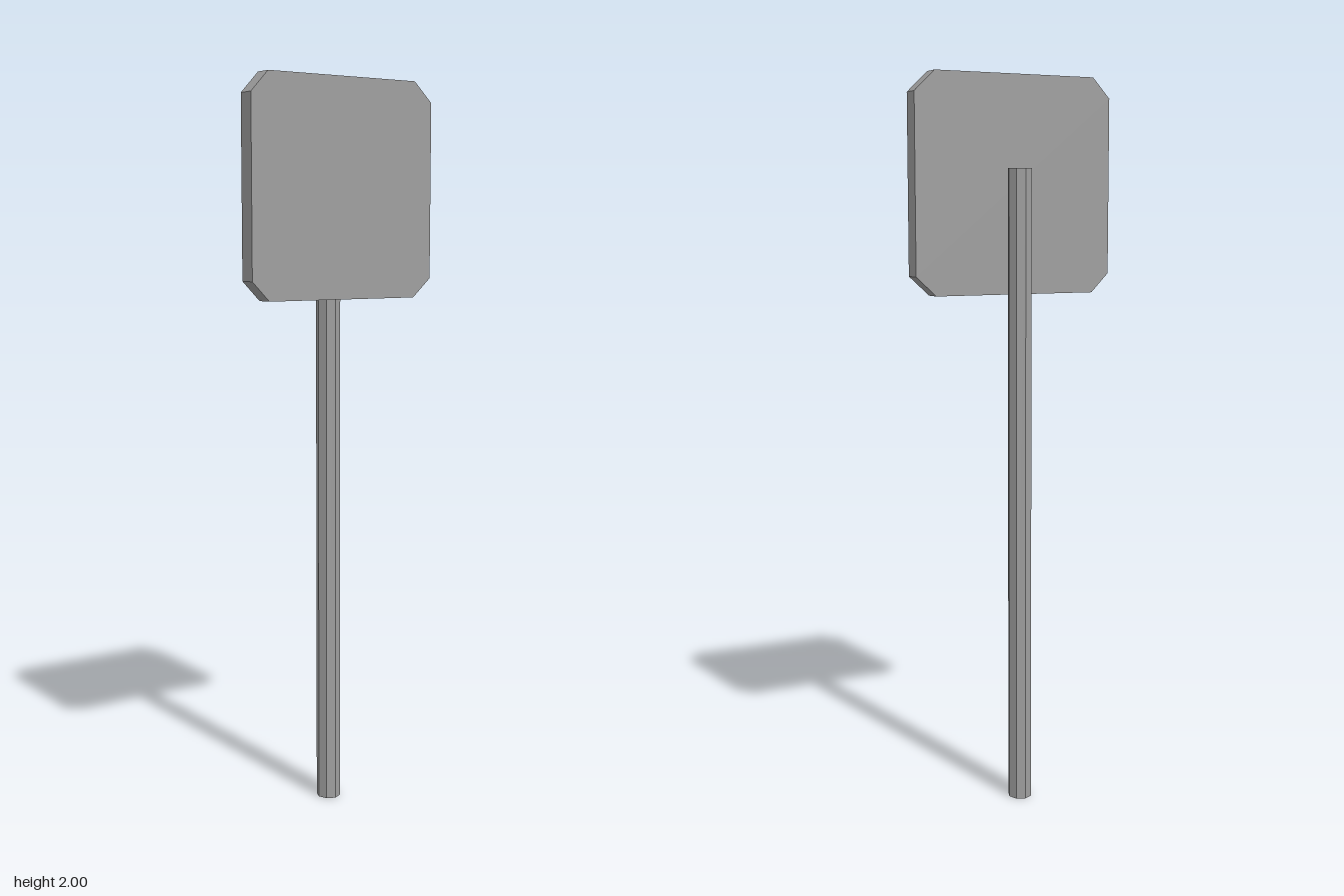
import * as THREE from 'three';

export function createModel() {
  const group = new THREE.Group();
  const material = new THREE.MeshStandardMaterial({ color: 0x9f9f9f, flatShading: true });

  // Eight-sided post, slightly narrower across x than z
  const postHeight = 1.752;
  const post = new THREE.Mesh(new THREE.CylinderGeometry(0.035, 0.035, postHeight, 8), material);
  post.name = 'post';
  post.scale.x = 0.93;
  post.position.set(0.004, postHeight / 2, -0.024);
  group.add(post);

  // Sign plate with clipped corners, mounted on the front of the post
  const outline = [
    [-0.24, 1.416], [0.234, 1.416], [0.292, 1.468], [0.292, 1.945],
    [0.234, 2], [-0.24, 2], [-0.292, 1.945], [-0.292, 1.468],
  ].map(([x, y]) => new THREE.Vector2(x, y));
  const plate = new THREE.Mesh(
    new THREE.ExtrudeGeometry(new THREE.Shape(outline), { depth: 0.048, bevelEnabled: false }),
    material,
  );
  plate.name = 'signPlate';
  plate.position.z = 0.011;
  group.add(plate);

  return group;
}
